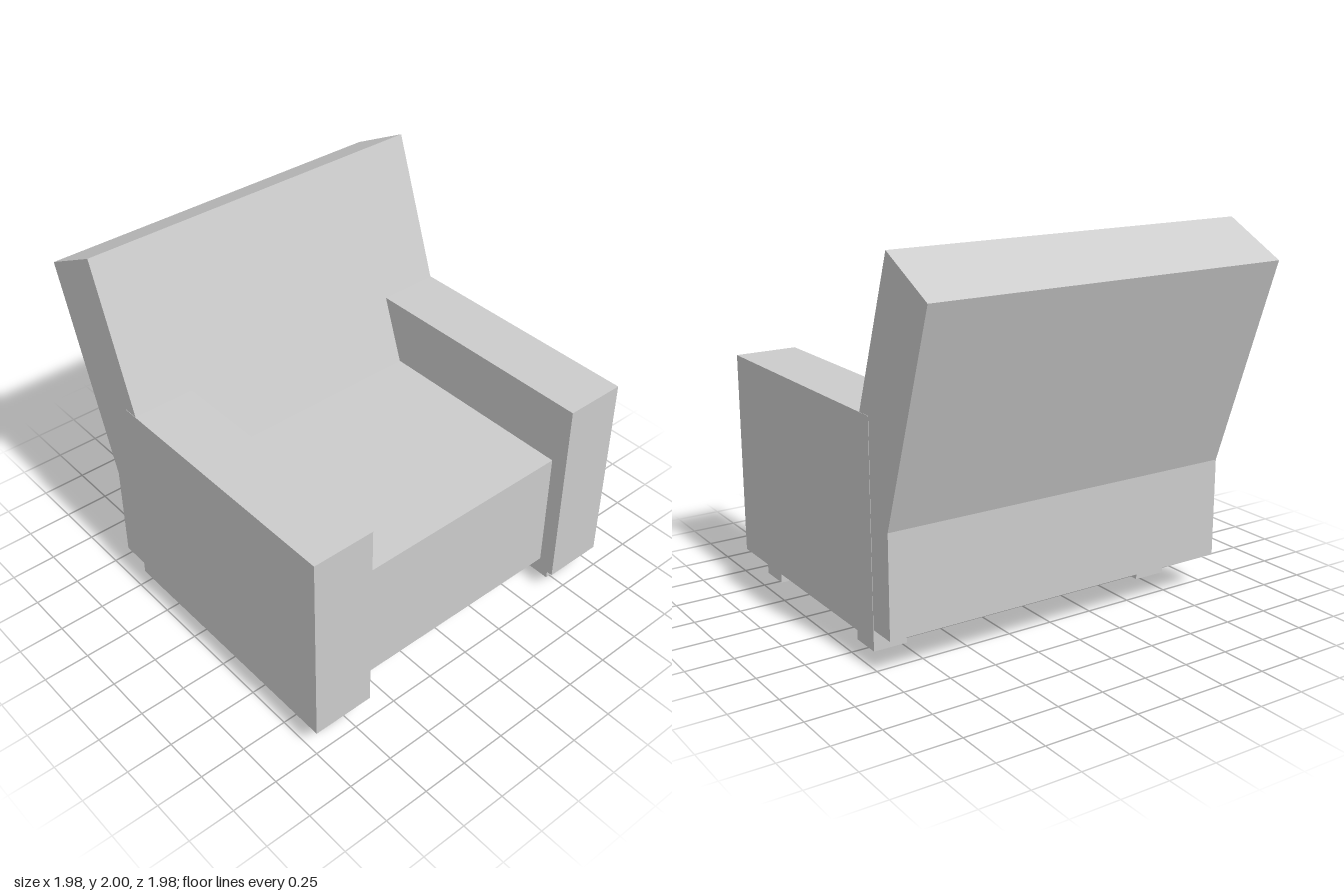
import * as THREE from 'three';

const material = new THREE.MeshStandardMaterial({ color: 0xcccccc });

// Box given by its lower and upper corners
function box(name, [x0, y0, z0], [x1, y1, z1]) {
  const mesh = new THREE.Mesh(new THREE.BoxGeometry(x1 - x0, y1 - y0, z1 - z0), material);
  mesh.position.set((x0 + x1) / 2, (y0 + y1) / 2, (z0 + z1) / 2);
  mesh.name = name;
  return mesh;
}

// Side profile of [z, y] points swept across the width of the chair
function sweep(name, points, width) {
  const shape = new THREE.Shape(points.map(([z, y]) => new THREE.Vector2(z, y)));
  const geometry = new THREE.ExtrudeGeometry(shape, { depth: width, bevelEnabled: false });
  geometry.translate(0, 0, -width / 2).rotateY(-Math.PI / 2);
  const mesh = new THREE.Mesh(geometry, material);
  mesh.name = name;
  return mesh;
}

export function createModel() {
  const chair = new THREE.Group();
  chair.name = 'armchair';

  // Solid seat block between the arms
  chair.add(box('seat', [-0.655, 0.19, -0.5], [0.655, 0.875, 0.9]));

  // Reclined backrest with an upright lower part
  chair.add(sweep('backrest', [
    [-0.645, 2], [-0.985, 1.825], [-0.61, 0.72], [-0.61, 0.19], [-0.3, 0.19], [-0.245, 0.875],
  ], 1.976));

  // Arms, each with a front and a rear foot
  for (const [side, s] of [['left', 1], ['right', -1]]) {
    const span = (a, b) => (s > 0 ? [a, b] : [-b, -a]);
    const [a0, a1] = span(0.652, 0.99);
    chair.add(box(`${side}Arm`, [a0, 0.13, -0.455], [a1, 1.23, 0.99]));

    const [f0, f1] = span(0.725, 0.908);
    chair.add(box(`${side}FrontFoot`, [f0, 0, 0.73], [f1, 0.135, 0.9]));
    chair.add(box(`${side}RearFoot`, [f0, 0, -0.305], [f1, 0.135, -0.138]));
  }
  return chair;
}
